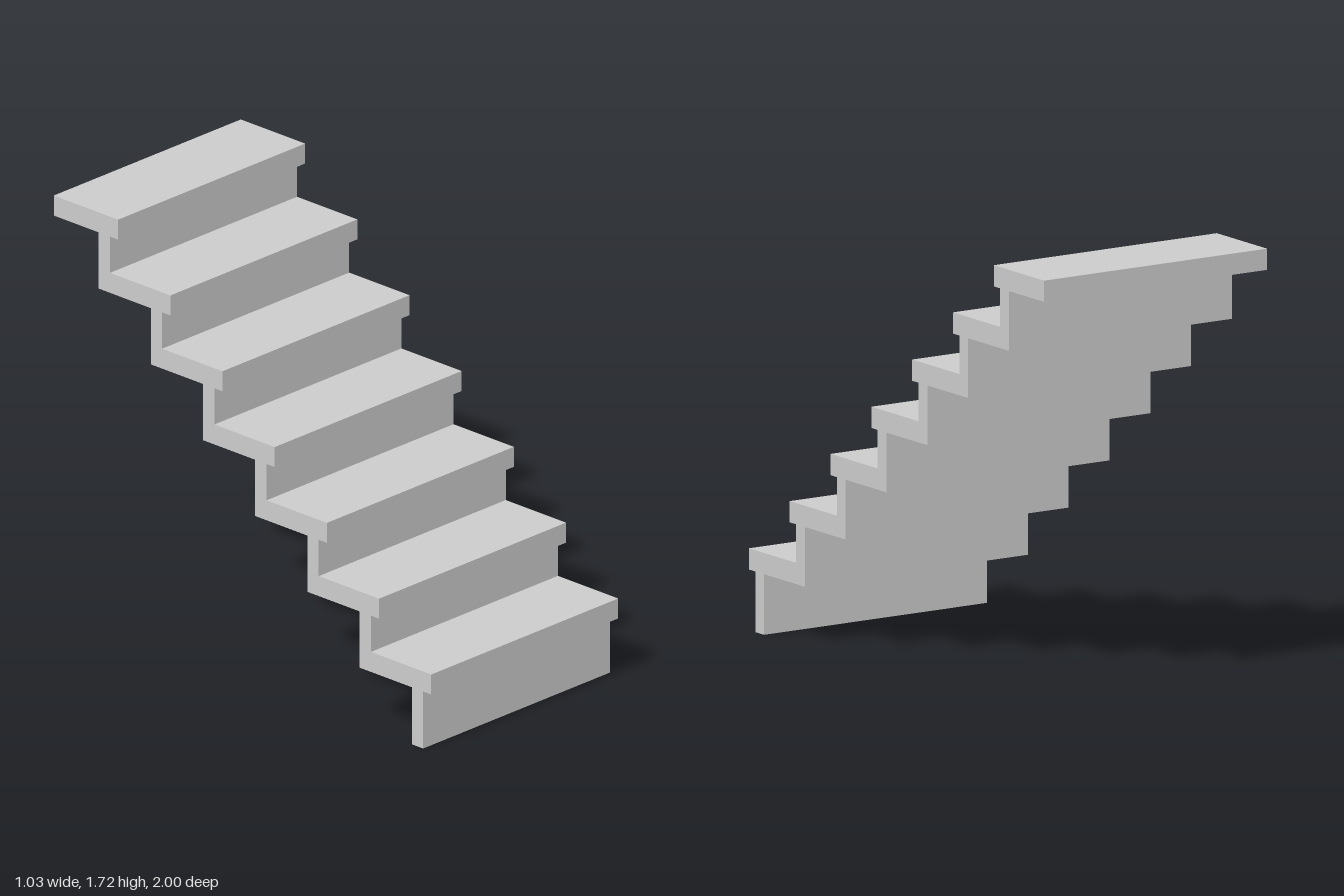
import * as THREE from 'three';

const STEPS = 7;
const RISE = 0.2335, RUN = 0.2765;   // offset from one step to the next
const WIDTH = 1.032;
const FIRST_TOP = 0.32, TREAD = 0.083; // height of the first tread, tread thickness
const NOSING = 0.043, RISER = 0.06;   // tread overhang, riser thickness

export function createModel() {
  const group = new THREE.Group();
  group.name = 'staircase';

  const front = [], back = [];
  for (let i = 0; i < STEPS; i++) {
    const nose = 1 - i * RUN;
    const top = FIRST_TOP + i * RISE;
    const bottom = top - TREAD;
    const riserFront = nose - NOSING;
    const riserBack = riserFront - RISER;
    const foot = i === 0 ? 0 : top - RISE; // top of the tread below
    const backFoot = i === 0 ? 0 : bottom - RISE; // underside of the tread below

    // riser front, underside of nosing, tread edge
    front.push([riserFront, foot], [riserFront, bottom], [nose, bottom], [nose, top]);
    // riser back, from its foot to the underside of its tread
    back.push([riserBack, backFoot], [riserBack, bottom]);
    // free rear edge of the top tread
    if (i === STEPS - 1) {
      front.push([-1, top]);
      back.push([-1, bottom]);
    }
  }

  // Zigzag side profile (z, y), extruded across the width
  const outline = [...front, ...back.reverse()].map(([z, y]) => new THREE.Vector2(z, y));
  const geometry = new THREE.ExtrudeGeometry(new THREE.Shape(outline), {
    depth: WIDTH, bevelEnabled: false,
  });
  geometry.translate(0, 0, -WIDTH / 2);
  geometry.rotateY(-Math.PI / 2);

  const flight = new THREE.Mesh(
    geometry,
    new THREE.MeshStandardMaterial({ color: 0xcccccc, flatShading: true }),
  );
  flight.name = 'treadsAndRisers';
  group.add(flight);
  return group;
}
